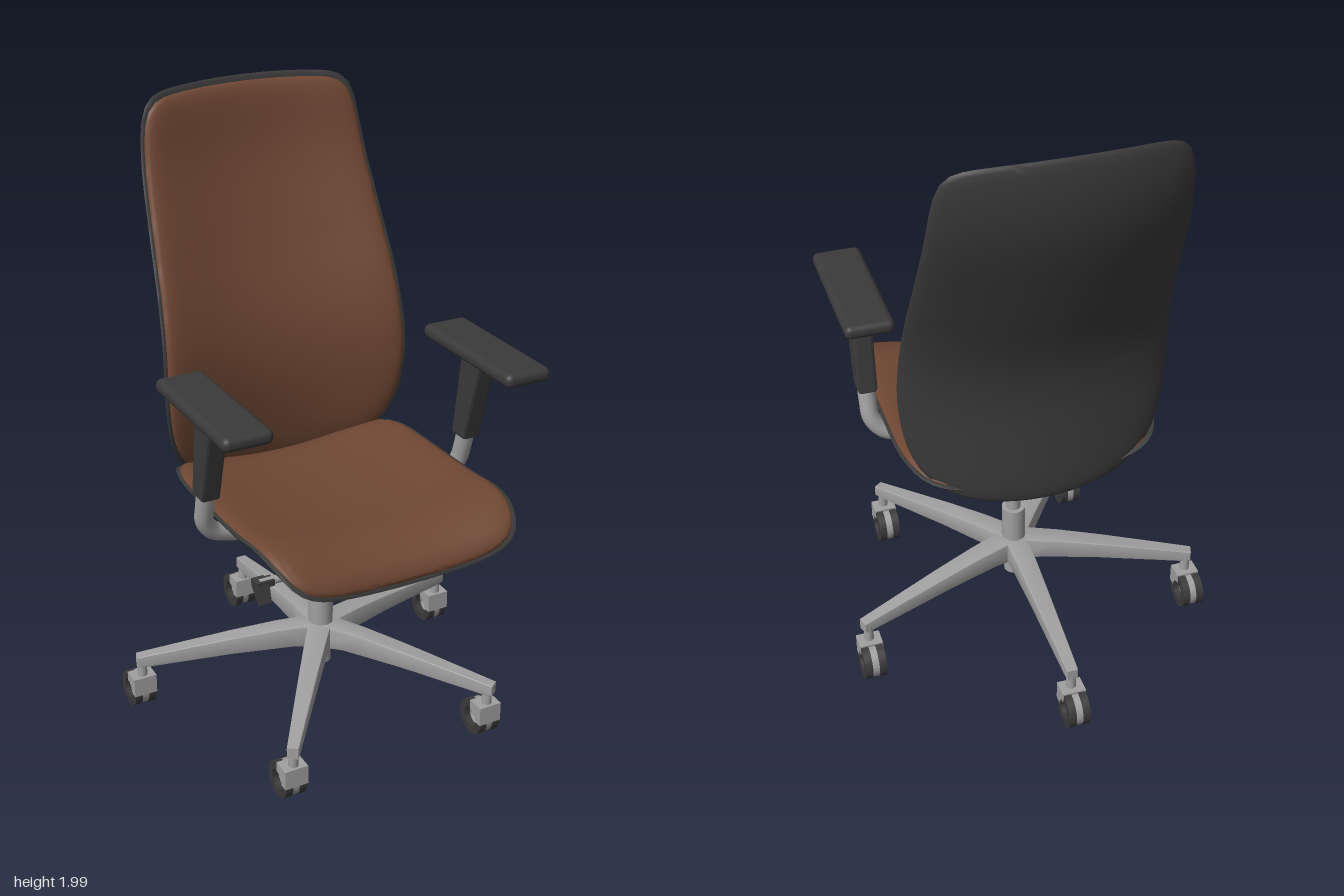
import * as THREE from 'three';
import { toCreasedNormals } from 'three/addons/utils/BufferGeometryUtils.js';
import { RoundedBoxGeometry } from 'three/addons/geometries/RoundedBoxGeometry.js';

const material = (name, color) => {
  const m = new THREE.MeshStandardMaterial({ color });
  m.name = name;
  return m;
};

export function createModel() {
  const brown = material('brown upholstery', 0x6f4733);
  const dark = material('dark plastic', 0x3a3a3a);
  const metal = material('grey metal', 0xa0a0a0);
  const chair = new THREE.Group();
  chair.name = 'officeChair';

  const add = (name, geometry, mat, x = 0, y = 0, z = 0, parent = chair) => {
    const mesh = new THREE.Mesh(geometry, mat);
    mesh.name = name;
    mesh.position.set(x, y, z);
    parent.add(mesh);
    return mesh;
  };
  const box = (w, h, d) => new THREE.BoxGeometry(w, h, d);
  const cyl = (r0, r1, h) => new THREE.CylinderGeometry(r0, r1, h, 28);
  const polygon = pts => new THREE.Shape(pts.map(p => new THREE.Vector2(...p)));

  // Side profile in z and y, extruded across x and centred on it
  const sideExtrude = (shape, width, bevel = 0) => {
    const depth = width - 2 * bevel;
    return new THREE.ExtrudeGeometry(shape, {
      depth, bevelEnabled: bevel > 0, bevelSize: bevel, bevelThickness: bevel,
      bevelOffset: -bevel, bevelSegments: 2, curveSegments: 12,
    }).translate(0, 0, -depth / 2).rotateY(-Math.PI / 2);
  };
  // Scales x by a rule of the vertex position
  const taper = (geometry, rule) => {
    const p = geometry.attributes.position;
    for (let i = 0; i < p.count; i++) p.setX(i, p.getX(i) * rule(p.getY(i), p.getZ(i)));
    return toCreasedNormals(geometry, 0.5);
  };

  // Upholstered pad: a rounded-square disc bent along a [z, y] spine.
  // v runs along the spine (-1 to 1), u across it, h along its normal.
  const pad = (form, { mid, lo, hi, power, scale }) => {
    const profile = [];
    const N = 16;
    const fall = r => Math.sqrt(Math.max(0, 1 - r ** power));
    for (let k = 0; k <= N; k++) {
      const r = Math.sin(k / N * Math.PI / 2);
      profile.push(new THREE.Vector2(r, mid - lo * fall(r)));
    }
    for (let k = N - 1; k >= 0; k--) {
      const r = Math.sin(k / N * Math.PI / 2);
      profile.push(new THREE.Vector2(r, mid + hi * fall(r)));
    }
    const geometry = new THREE.LatheGeometry(profile, 112);
    const p = geometry.attributes.position;
    for (let i = 0; i < p.count; i++) {
      const X = p.getX(i), Z = p.getZ(i), h = p.getY(i);
      const r = Math.hypot(X, Z);
      let u = 0, v = 0;
      if (r > 1e-6) {
        const n = Z > 0 ? form.startCorner : form.endCorner;
        const f = scale / (Math.abs(X / r) ** n + Math.abs(Z / r) ** n) ** (1 / n);
        u = X * f;
        v = -Z * f;
      }
      v *= 1 - (v < 0 ? form.startArc : form.endArc) * u * u;
      const t = THREE.MathUtils.clamp((v + 1) / 2, 0, 1);
      const c = form.spine.getPointAt(t), d = form.spine.getTangentAt(t);
      const off = h + form.bow(v) * u * u;
      p.setXYZ(i, form.width(v) * u, c.y - d.x * off, c.x + d.y * off);
    }
    return toCreasedNormals(geometry, 0.9);
  };
  const spline = pts => new THREE.SplineCurve(pts.map(p => new THREE.Vector2(...p)));

  // Seat, spine from front lip to rear
  const seat = {
    spine: spline([[0.62, 0.70], [0.56, 0.755], [0.46, 0.782], [0.3, 0.77], [0, 0.765], [-0.16, 0.768], [-0.25, 0.75]]),
    width: () => 0.425, bow: () => 0.06,
    startCorner: 6, endCorner: 6, startArc: 0.03, endArc: 0.03,
  };
  add('seatShell', pad(seat, { mid: 0, lo: 0.042, hi: 0.012, power: 5, scale: 1 }), dark);
  add('seatCushion', pad(seat, { mid: 0.004, lo: 0.01, hi: 0.03, power: 8, scale: 0.975 }), brown);

  // Backrest, spine from bottom to top
  const back = {
    spine: spline([[-0.3, 0.71], [-0.275, 0.9], [-0.264, 1.08], [-0.287, 1.24], [-0.37, 1.47], [-0.444, 1.68], [-0.474, 1.82], [-0.484, 1.985]]),
    width: v => 0.437 - 0.067 * Math.max(0, (v + 0.4) / 1.4),
    bow: v => 0.095 - 0.045 * Math.max(0, v),
    startCorner: 5, endCorner: 12, startArc: 0.13, endArc: 0.03,
  };
  add('backrestShell', pad(back, { mid: 0.025, lo: 0.025, hi: 0.015, power: 8, scale: 1 }), dark);
  add('backrestCushion', pad(back, { mid: 0.03, lo: 0.01, hi: 0.034, power: 8, scale: 0.972 }), brown);

  // Tilt mechanism, narrowing towards the column
  const tilt = sideExtrude(polygon([[0.41, 0.705], [0.41, 0.645], [0.34, 0.62], [0.095, 0.53], [0.005, 0.51], [-0.01, 0.555], [0.1, 0.62], [0.26, 0.725]]), 0.27);
  add('tiltMechanism', taper(tilt, y => THREE.MathUtils.clamp(0.35 + 0.65 * (y - 0.51) / 0.11, 0.35, 1)), dark);
  add('columnSocket', cyl(0.055, 0.042, 0.05), dark, 0, 0.525, 0.07);
  add('seatMount', box(0.26, 0.03, 0.26), dark, 0, 0.718, 0.17);

  // Height lever on the right
  add('leverRod', cyl(0.013, 0.013, 0.22).rotateZ(Math.PI / 2), metal, -0.23, 0.635, 0.31);
  add('leverHandle', sideExtrude(polygon([[0.285, 0.62], [0.335, 0.572], [0.345, 0.58], [0.325, 0.645], [0.285, 0.645]]), 0.04), dark, -0.335);
  add('leverTip', box(0.06, 0.02, 0.035), dark, -0.325, 0.635, 0.31);

  // Armrests
  for (const s of [1, -1]) {
    const arm = new THREE.Group();
    arm.name = s > 0 ? 'leftArmrest' : 'rightArmrest';
    chair.add(arm);
    add('armPad', new RoundedBoxGeometry(0.158, 0.046, 0.488, 4, 0.021), dark, s * 0.463, 1.225, 0.277, arm);
    add('armPost', sideExtrude(polygon([[0.162, 0.91], [0.232, 0.91], [0.312, 1.205], [0.2, 1.205]]), 0.065, 0.01), dark, s * 0.457, 0, 0, arm);
    const path = new THREE.CatmullRomCurve3([
      [0.457, 0.95, 0.205], [0.457, 0.87, 0.185], [0.452, 0.81, 0.168],
      [0.42, 0.765, 0.157], [0.37, 0.745, 0.15], [0.31, 0.73, 0.145],
    ].map(([x, y, z]) => new THREE.Vector3(s * x, y, z)));
    add('armTube', new THREE.TubeGeometry(path, 32, 0.029, 16), metal, 0, 0, 0, arm);
    add('armBracket', box(0.13, 0.03, 0.2), dark, s * 0.255, 0.722, 0.14, arm);
  }

  // Gas column and hub
  const cz = 0.07;
  add('columnPiston', cyl(0.024, 0.024, 0.14), metal, 0, 0.45, cz);
  add('columnSleeve', cyl(0.04, 0.04, 0.15), metal, 0, 0.325, cz);
  add('columnFoot', cyl(0.033, 0.033, 0.12), metal, 0, 0.185, cz);
  add('baseHub', cyl(0.05, 0.058, 0.075), metal, 0, 0.235, cz);

  // Caster parts, wheel centre at the origin
  const ring = (outer, inner, width) => {
    const shape = new THREE.Shape();
    shape.absarc(0, 0, outer, 0, Math.PI * 2);
    const hole = new THREE.Path();
    hole.absarc(0, 0, inner, 0, Math.PI * 2, true);
    shape.holes.push(hole);
    return toCreasedNormals(sideExtrude(shape, width), 0.6);
  };
  const tyre = ring(0.06, 0.033, 0.025);
  const core = ring(0.057, 0.032, 0.032);
  const fenderShape = polygon([[0.033, 0], [0.06, 0], [0.06, 0.065], [0, 0.065], [0, 0.033]]);
  fenderShape.absarc(0, 0, 0.033, Math.PI / 2, 0, true);
  const fender = sideExtrude(fenderShape, 0.078);

  // Star base: five tapering legs, each with a twin-wheel caster
  const leg = taper(
    sideExtrude(polygon([[0, 0.19], [0.1, 0.2], [0.3, 0.19], [0.58, 0.165], [0.615, 0.165], [0.615, 0.203], [0.45, 0.228], [0.3, 0.25], [0.15, 0.268], [0, 0.278]]), 0.08, 0.006),
    (y, z) => 1 - 0.85 * z);
  const R = 0.595;
  for (let i = 0; i < 5; i++) {
    const a = Math.PI + i * Math.PI * 2 / 5;
    const x = R * Math.sin(a), z = cz + R * Math.cos(a);
    add('baseLeg', leg, metal, 0, 0, cz).rotation.y = a;
    const caster = new THREE.Group();
    caster.name = 'caster';
    caster.position.set(x, 0.06, z - 0.04);
    chair.add(caster);
    add('casterStem', cyl(0.016, 0.016, 0.075), metal, 0, 0.09, 0.035, caster);
    add('casterFender', fender, metal, 0, 0, 0, caster);
    add('casterCore', core, metal, 0, 0, 0, caster);
    for (const s of [1, -1]) add('casterTyre', tyre, dark, s * 0.024, 0, 0, caster);
  }
  return chair;
}
